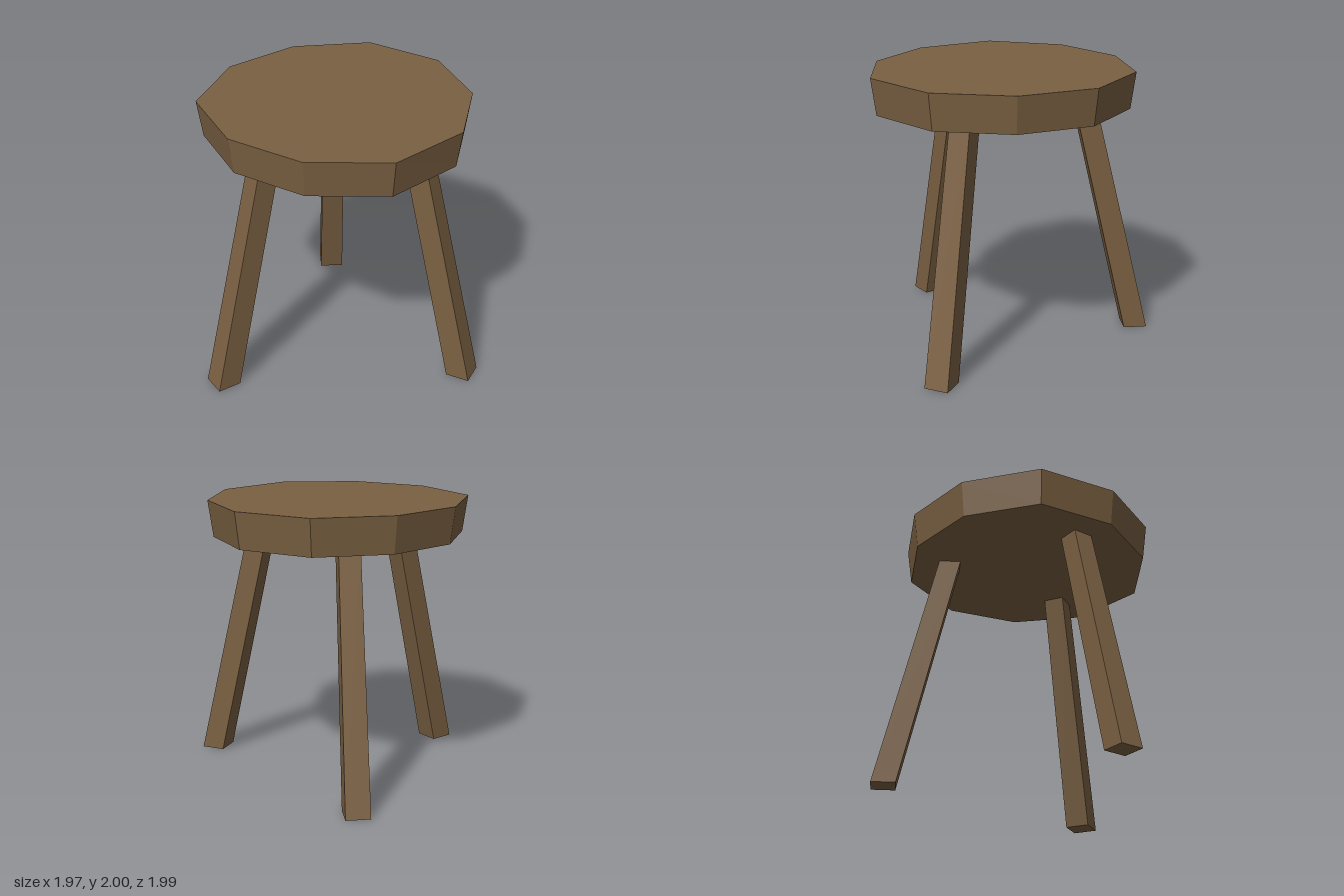
import * as THREE from 'three';

const CENTRE_Z = 0.09;      // the axis shared by the seat and the legs
const SEAT_TOP = 2, SEAT_BOTTOM = 1.74;

// Slightly uneven ten-sided slab, narrowing towards its underside
function seatGeometry() {
  const outline = [
    [-0.96, 0.08], [-0.74, 0.62], [-0.28, 0.95], [0.29, 0.995], [0.76, 0.63],
    [0.91, 0.08], [0.75, 0.465], [0.29, 0.81], [-0.28, 0.775], [-0.74, 0.455],
  ].map(([x, z], i) => new THREE.Vector2(x, i > 5 ? z : -z));
  const geometry = new THREE.ExtrudeGeometry(new THREE.Shape(outline), {
    depth: SEAT_TOP - SEAT_BOTTOM, bevelEnabled: false,
  });
  geometry.rotateX(-Math.PI / 2).translate(0, SEAT_BOTTOM, 0);
  const p = geometry.attributes.position;
  for (let i = 0; i < p.count; i++) {
    if (p.getY(i) > SEAT_BOTTOM + 0.1) continue;
    p.setX(i, p.getX(i) * 0.96);
    p.setZ(i, CENTRE_Z + (p.getZ(i) - CENTRE_Z) * 0.963);
  }
  geometry.computeVertexNormals();
  return geometry;
}

// Square post leaning outwards along -z and thickening towards the floor
function legGeometry() {
  const geometry = new THREE.BoxGeometry(1, 1, 1);
  const p = geometry.attributes.position;
  for (let i = 0; i < p.count; i++) {
    const top = p.getY(i) > 0;
    const width = top ? 0.15 : 0.174;
    const depth = top ? 0.155 : 0.17;
    const radius = top ? 0.583 : 1.0;
    p.setXYZ(i, p.getX(i) * width, top ? SEAT_BOTTOM + 0.02 : 0, p.getZ(i) * depth - radius);
  }
  geometry.computeVertexNormals();
  return geometry;
}

export function createModel() {
  const wood = new THREE.MeshStandardMaterial({ color: 0x7a6042, flatShading: true });
  wood.name = 'brown wood';

  const stool = new THREE.Group();
  stool.name = 'stool';

  const seat = new THREE.Mesh(seatGeometry(), wood);
  seat.name = 'seat';
  stool.add(seat);

  // Three legs evenly spaced around the seat axis
  const post = legGeometry();
  ['backLeg', 'frontRightLeg', 'frontLeftLeg'].forEach((name, i) => {
    const leg = new THREE.Mesh(post, wood);
    leg.name = name;
    leg.position.z = CENTRE_Z;
    leg.rotation.y = (i * Math.PI * 2) / 3;
    stool.add(leg);
  });

  return stool;
}
